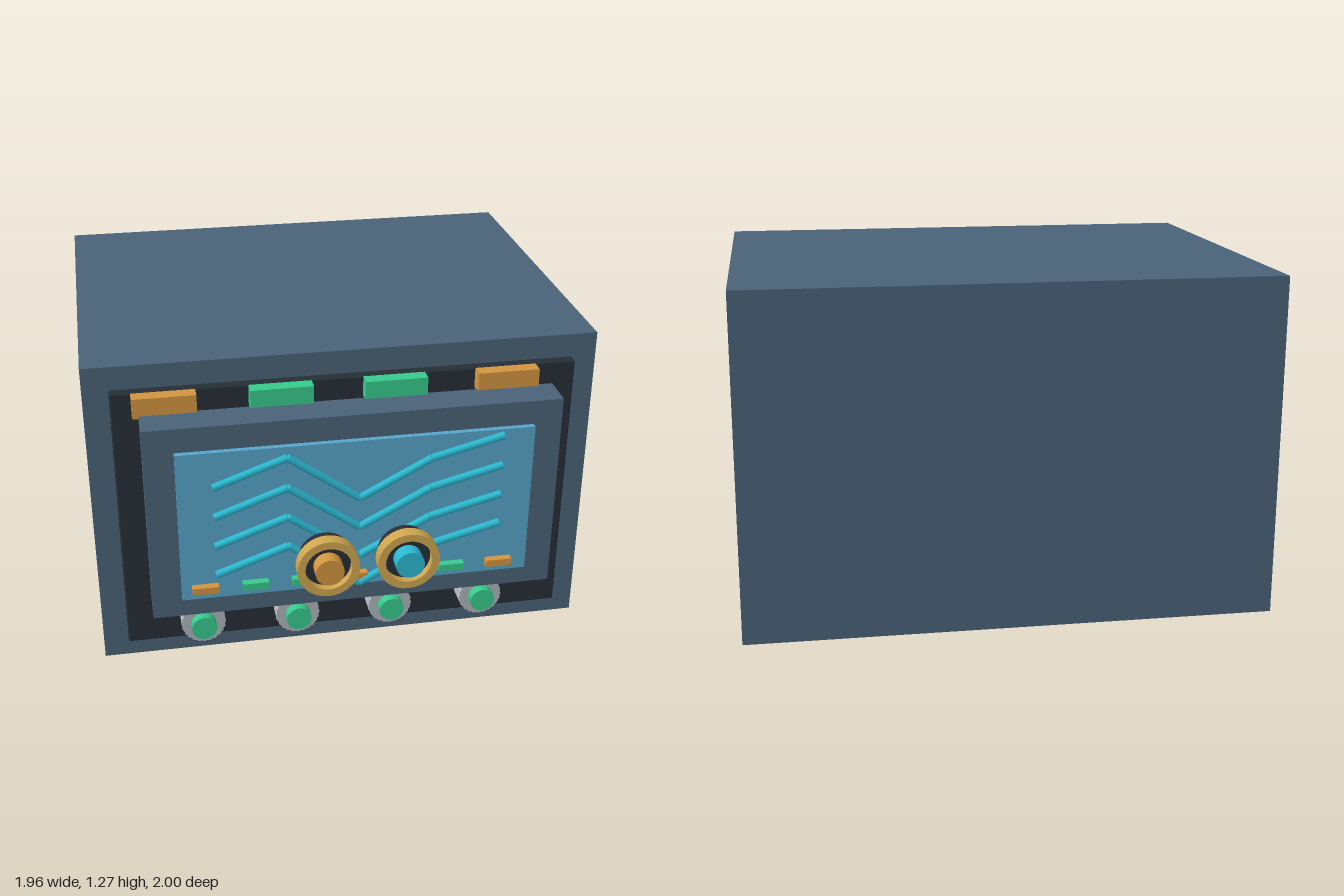
import * as THREE from 'three';
import { RoundedBoxGeometry } from 'three/addons/geometries/RoundedBoxGeometry.js';

const mat = (name, color) => {
  const m = new THREE.MeshStandardMaterial({ color });
  m.name = name;
  return m;
};

export function createModel() {
  const steel = mat('slate blue', 0x4a6277);
  const dark = mat('charcoal', 0x252e36);
  const glass = mat('screen blue', 0x57a5ca);
  const cyan = mat('cyan', 0x2bb8d0);
  const green = mat('green', 0x37ca8d);
  const orange = mat('amber', 0xd2963f);
  const gold = mat('gold', 0xcfa650);
  const silver = mat('silver', 0xaeb4ba);

  const root = new THREE.Group();
  root.name = 'controlConsole';

  const add = (name, geo, material, parent = root) => {
    const m = new THREE.Mesh(geo, material);
    m.name = name;
    parent.add(m);
    return m;
  };
  // Box given by its limits
  const box = (name, material, x0, x1, y0, y1, z0, z1) => {
    const m = add(name, new THREE.BoxGeometry(x1 - x0, y1 - y0, z1 - z0), material);
    m.position.set((x0 + x1) / 2, (y0 + y1) / 2, (z0 + z1) / 2);
    return m;
  };
  // Cylinder along z between two depths
  const disc = (name, material, r, z0, z1, parent, sides = 32) => {
    const g = new THREE.CylinderGeometry(r, r, z1 - z0, sides).rotateX(Math.PI / 2);
    g.translate(0, 0, (z0 + z1) / 2);
    return add(name, g, material, parent);
  };

  // Cabinet, front panel, screen frame and screen
  box('cabinet', steel, -0.98, 0.98, 0, 1.275, -1, 0.487);
  const panel = add('frontPanel', new RoundedBoxGeometry(1.765, 1.095, 0.044, 2, 0.008), dark);
  panel.position.set(0, 0.64, 0.515);
  box('screenFrame', steel, -0.782, 0.782, 0.318, 1.118, 0.577, 0.713);
  box('screen', glass, -0.67, 0.67, 0.408, 1.027, 0.722, 0.744);

  // Tabs along the top edge of the panel
  [orange, green, green, orange].forEach((m, i) => {
    const x = -0.687 + i * 0.431;
    box('topTab', m, x - 0.118, x + 0.118, 1.108, 1.187, 0.537, 0.59);
  });

  // Four zigzag traces made of straight rods
  const trace = [[-0.54, 0.905], [-0.268, 1.003], [0, 0.81], [0.268, 0.952], [0.54, 1.022]];
  const up = new THREE.Vector3(0, 1, 0);
  for (let row = 0; row < 4; row++) {
    const g = new THREE.Group();
    g.name = 'screenTrace';
    g.position.set(0, -0.124 * row, 0.781);
    root.add(g);
    for (let i = 0; i < trace.length - 1; i++) {
      const a = new THREE.Vector3(...trace[i], 0);
      const b = new THREE.Vector3(...trace[i + 1], 0);
      const d = b.clone().sub(a);
      const rod = add('traceRod', new THREE.CylinderGeometry(0.015, 0.015, d.length(), 8), cyan, g);
      rod.position.copy(a).add(b).multiplyScalar(0.5);
      rod.quaternion.setFromUnitVectors(up, d.normalize());
    }
  }

  // Row of indicator lamps low on the screen
  [orange, green, green, orange, green, green, orange].forEach((m, i) => {
    const x = -0.582 + i * 0.1888;
    box('indicatorLamp', m, x - 0.05, x + 0.05, 0.453, 0.481, 0.757, 0.786);
  });

  // Two large dials: dark base, gold rim, coloured button
  const rim = [[0.086, 0.927], [0.115, 0.927], [0.115, 0.976], [0.086, 0.976], [0.086, 0.927]];
  [[-0.15, orange], [0.146, cyan]].forEach(([x, m]) => {
    const dial = new THREE.Group();
    dial.name = 'largeDial';
    dial.position.set(x, 0.638, 0);
    root.add(dial);
    disc('dialBase', dark, 0.095, 0.873, 0.945, dial);
    // Each wall of the rim is its own lathe so its edges stay sharp
    for (let i = 0; i < 4; i++) {
      const pts = [rim[i], rim[i + 1]].map(p => new THREE.Vector2(...p));
      add('dialRim', new THREE.LatheGeometry(pts, 32).rotateX(Math.PI / 2), gold, dial);
    }
    disc('dialButton', m, 0.053, 0.94, 1, dial);
  });

  // Four knurled knobs under the screen
  const knurl = new THREE.Shape();
  for (let i = 0; i < 48; i++) {
    const a = (i / 48) * Math.PI * 2;
    const r = i % 2 ? 0.083 : 0.087;
    knurl[i ? 'lineTo' : 'moveTo'](Math.cos(a) * r, Math.sin(a) * r);
  }
  const knobGeo = new THREE.ExtrudeGeometry(knurl, { depth: 0.087, bevelEnabled: false });
  for (let i = 0; i < 4; i++) {
    const knob = new THREE.Group();
    knob.name = 'smallKnob';
    knob.position.set(-0.588 + i * 0.3715, 0.23, 0);
    root.add(knob);
    add('knobBody', knobGeo, silver, knob).position.z = 0.565;
    disc('knobCap', green, 0.049, 0.64, 0.69, knob, 24);
  }

  return root;
}
